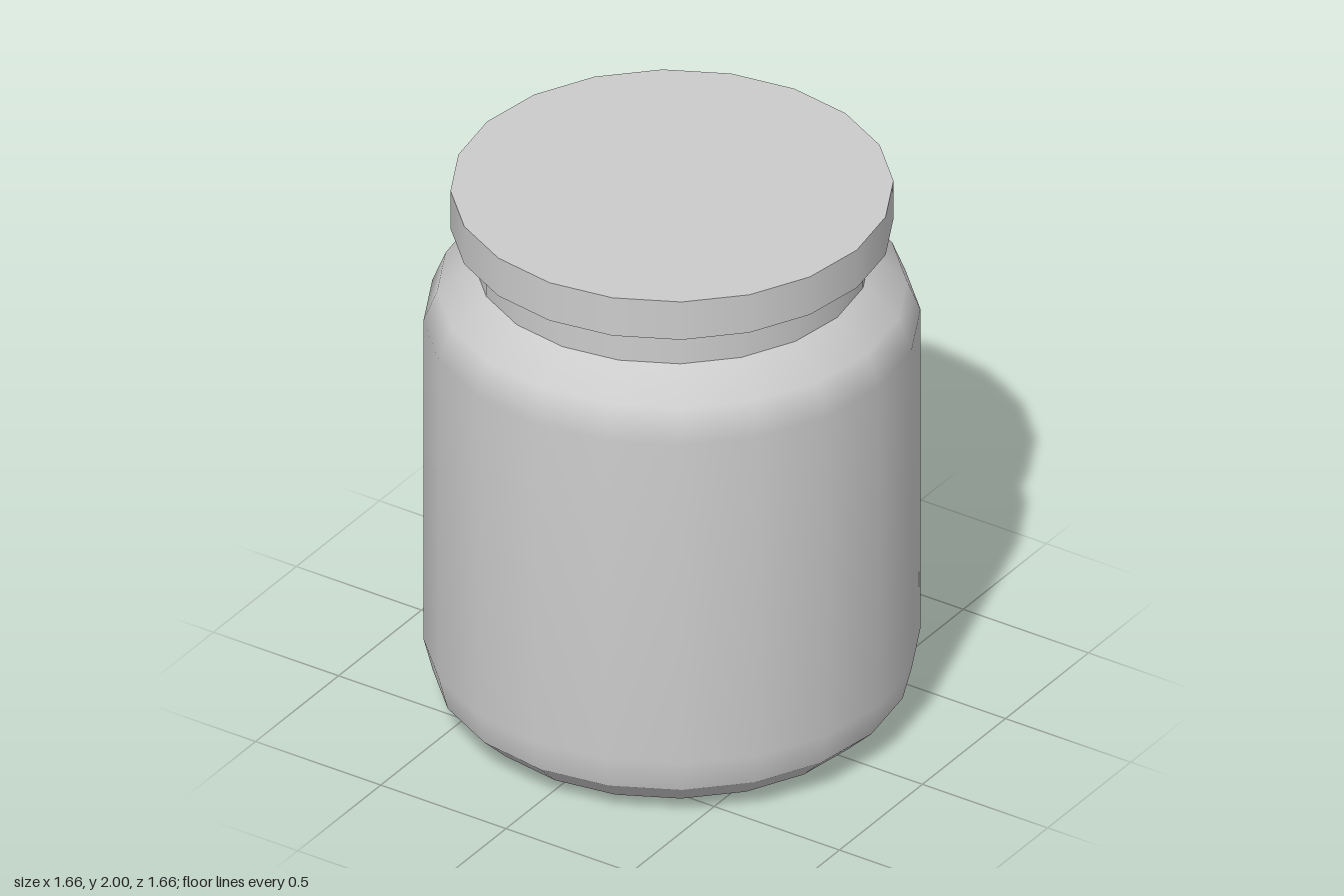
import * as THREE from 'three';

const SIDES = 20;

export function createModel() {
  const group = new THREE.Group();
  const material = new THREE.MeshStandardMaterial({ color: 0xcccccc });

  const add = (name, geometry, y = 0) => {
    const mesh = new THREE.Mesh(geometry, material);
    mesh.name = name;
    mesh.position.y = y;
    group.add(mesh);
  };
  // Each turned section is smooth inside, with a sharp edge where sections meet
  const turned = (name, profile) =>
    add(name, new THREE.LatheGeometry(profile.map(([r, y]) => new THREE.Vector2(r, y)), SIDES));

  // Jar, from the bottom up
  turned('base', [[0, 0], [0.58, 0.005], [0.705, 0.038]]);
  turned('lowerBevel', [[0.705, 0.038], [0.797, 0.128]]);
  turned('body', [[0.797, 0.128], [0.828, 0.25], [0.828, 1.495], [0.782, 1.61], [0.66, 1.71]]);
  turned('neck', [[0.66, 1.71], [0.66, 1.852]]);

  // Flat overhanging lid
  add('lid', new THREE.CylinderGeometry(0.738, 0.738, 0.148, SIDES), 1.926);

  return group;
}
